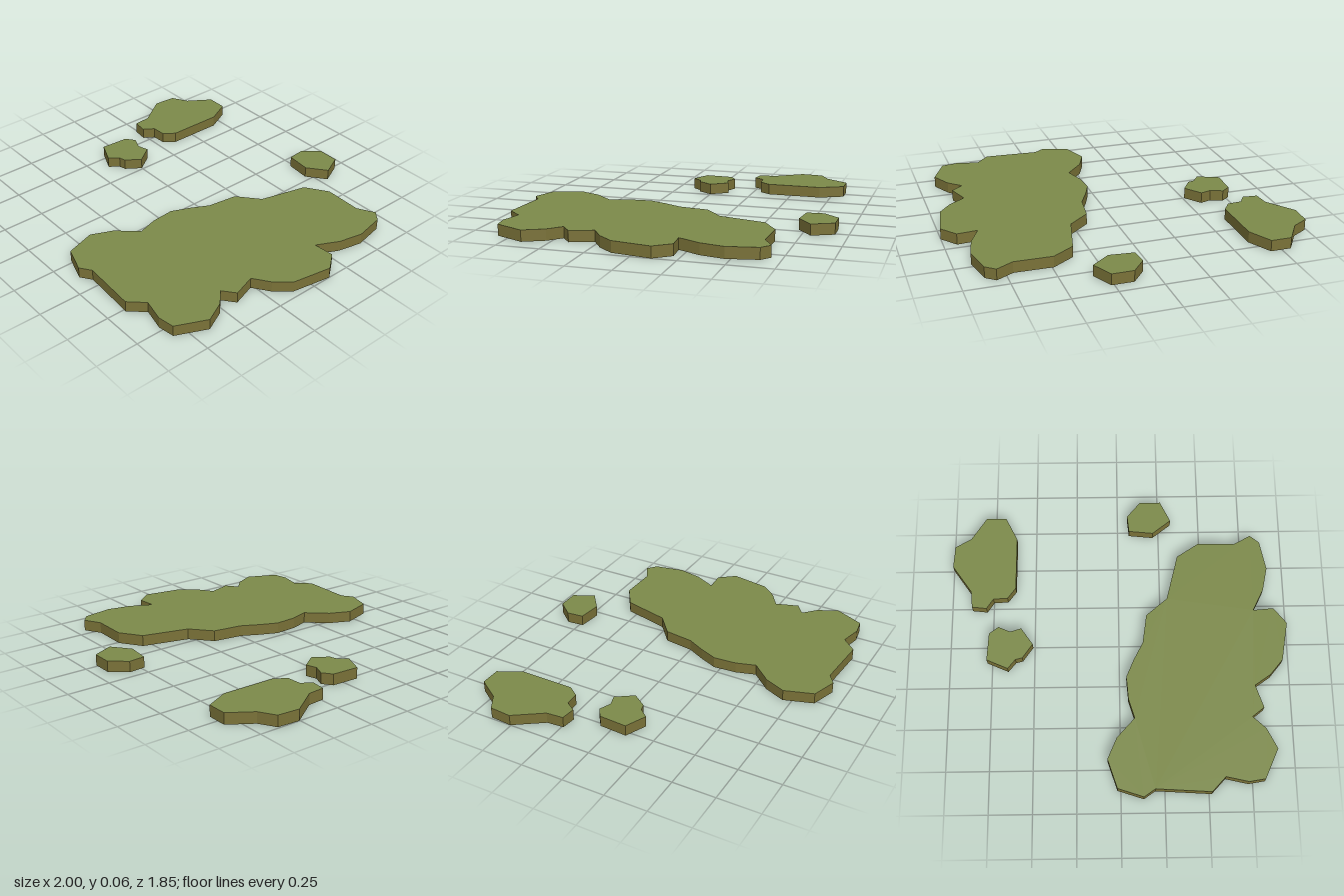
import * as THREE from 'three';

const HEIGHT = 0.065;

// Coastlines as [x, z] points, clockwise seen from above
const islands = {
  mainIsland: [
    [0.36, -0.555], [0.49, -0.64], [0.71, -0.635], [0.81, -0.69], [0.865, -0.645], [0.9, -0.47], [0.87, -0.33],
    [0.805, -0.2], [0.925, -0.21], [1, -0.115], [0.96, 0.115], [0.885, 0.205], [0.79, 0.27], [0.835, 0.405],
    [0.765, 0.46], [0.84, 0.53], [0.9, 0.65], [0.82, 0.825], [0.725, 0.84], [0.595, 0.81], [0.515, 0.895],
    [0.195, 0.875], [0.13, 0.92], [-0.02, 0.87], [-0.075, 0.7], [-0.02, 0.575], [0.085, 0.46], [0.05, 0.345],
    [0.04, 0.21], [0.085, 0.105], [0.14, 0], [0.165, -0.175], [0.29, -0.28],
  ],
  westIsland: [
    [-0.805, -0.825], [-0.685, -0.825], [-0.615, -0.685], [-0.617, -0.36], [-0.665, -0.295], [-0.75, -0.29],
    [-0.79, -0.23], [-0.877, -0.24], [-0.885, -0.34], [-1, -0.505], [-0.99, -0.635], [-0.895, -0.69],
  ],
  smallWestIsland: [
    [-0.715, -0.11], [-0.645, -0.08], [-0.58, -0.1], [-0.51, 0], [-0.57, 0.085],
    [-0.61, 0.095], [-0.655, 0.15], [-0.78, 0.095], [-0.77, -0.07],
  ],
  northIslet: [[0.14, -0.925], [0.265, -0.925], [0.325, -0.8], [0.215, -0.715], [0.07, -0.73], [0.06, -0.83]],
};

// Flat land surface
function landGeometry(outline) {
  const shape = new THREE.Shape(outline.map(([x, z]) => new THREE.Vector2(x, -z)));
  return new THREE.ShapeGeometry(shape).rotateX(-Math.PI / 2).translate(0, HEIGHT, 0);
}

// Vertical wall around the coast, one flat quad per edge, open underneath
function cliffGeometry(outline) {
  const positions = [];
  outline.forEach(([ax, az], i) => {
    const [bx, bz] = outline[(i + 1) % outline.length];
    positions.push(bx, 0, bz, ax, 0, az, ax, HEIGHT, az);
    positions.push(bx, 0, bz, ax, HEIGHT, az, bx, HEIGHT, bz);
  });
  const geometry = new THREE.BufferGeometry();
  geometry.setAttribute('position', new THREE.Float32BufferAttribute(positions, 3));
  geometry.computeVertexNormals();
  return geometry;
}

export function createModel() {
  const grass = new THREE.MeshStandardMaterial({ color: 0x7c8a4a, side: THREE.DoubleSide });
  grass.name = 'grass green';
  const earth = new THREE.MeshStandardMaterial({ color: 0x7a7238, side: THREE.DoubleSide });
  earth.name = 'earth olive';

  const model = new THREE.Group();
  model.name = 'islands';
  for (const [name, outline] of Object.entries(islands)) {
    const island = new THREE.Group();
    island.name = name;
    const land = new THREE.Mesh(landGeometry(outline), grass);
    land.name = 'landSurface';
    const cliff = new THREE.Mesh(cliffGeometry(outline), earth);
    cliff.name = 'cliffWall';
    island.add(land, cliff);
    model.add(island);
  }
  return model;
}
